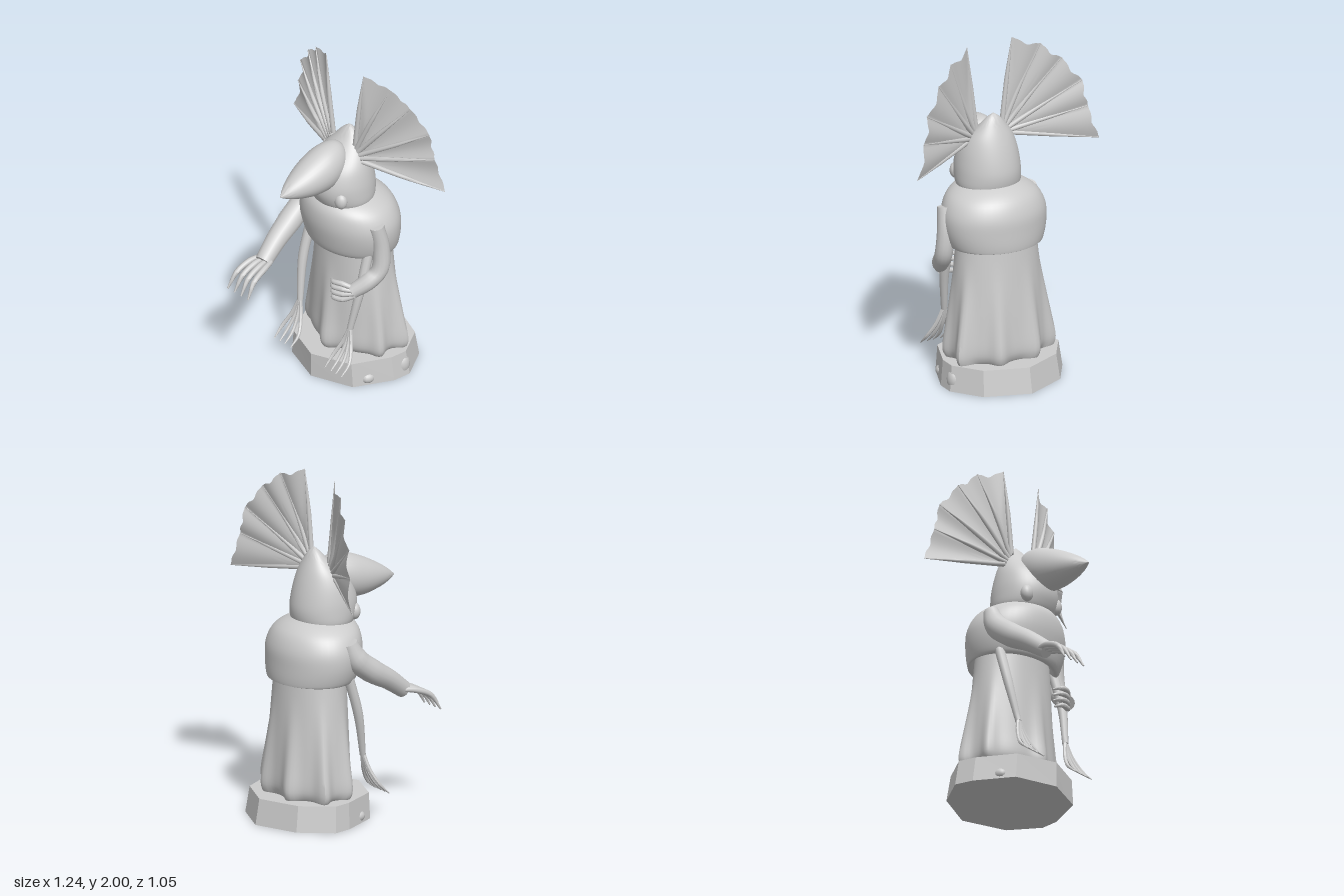
import * as THREE from 'three';
import { toCreasedNormals } from 'three/addons/utils/BufferGeometryUtils.js';

const V = (x, y, z) => new THREE.Vector3(x, y, z);
const grey = new THREE.MeshStandardMaterial({ color: 0xcccccc });
grey.name = 'stone grey';
grey.side = THREE.DoubleSide;

// Skin a list of equal rings (counter-clockwise about the loft direction), with end caps
function loft(rings, crease = 0.8) {
  const n = rings[0].length, pos = [], idx = [];
  rings.forEach(r => r.forEach(p => pos.push(p.x, p.y, p.z)));
  for (let i = 0; i < rings.length - 1; i++) {
    for (let j = 0; j < n; j++) {
      const a = i * n + j, b = i * n + (j + 1) % n;
      idx.push(a, b, a + n, b, b + n, a + n);
    }
  }
  [0, rings.length - 1].forEach((k, end) => {
    const c = rings[k].reduce((s, p) => s.add(p), V(0, 0, 0)).divideScalar(n);
    const m = pos.length / 3;
    pos.push(c.x, c.y, c.z);
    for (let j = 0; j < n; j++) {
      const a = k * n + j, b = k * n + (j + 1) % n;
      if (end) idx.push(a, b, m); else idx.push(b, a, m);
    }
  });
  const g = new THREE.BufferGeometry();
  g.setAttribute('position', new THREE.Float32BufferAttribute(pos, 3));
  g.setIndex(idx);
  return toCreasedNormals(g, crease);
}

// Smoothly resample rows of numbers
function smoothRows(rows, steps) {
  const out = [];
  for (let i = 0; i < rows.length - 1; i++) {
    for (let k = 0; k < steps; k++) {
      const t = k / steps, at = j => rows[Math.max(0, Math.min(rows.length - 1, j))];
      out.push(rows[i].map((p1, c) => {
        const p2 = at(i + 1)[c], m1 = (p2 - at(i - 1)[c]) / 2, m2 = (at(i + 2)[c] - p1) / 2;
        return (2 * t ** 3 - 3 * t * t + 1) * p1 + (t ** 3 - 2 * t * t + t) * m1
          + (3 * t * t - 2 * t ** 3) * p2 + (t ** 3 - t * t) * m2;
      }));
    }
  }
  out.push(rows[rows.length - 1]);
  return out;
}

// Body from rows of [y, half width, front z, back z]; bulge(angle, y) pushes folds outward
function bodyOf(rows, bulge = () => 0, n = 48, steps = 4) {
  return loft(smoothRows(rows, steps).map(([y, w, f, b]) => {
    const ring = [];
    for (let j = 0; j < n; j++) {
      const a = j / n * Math.PI * 2, k = bulge(a, y);
      ring.push(V(Math.sin(a) * (w + k), y, (f + b) / 2 + Math.cos(a) * ((f - b) / 2 + k)));
    }
    return ring;
  }));
}

// Round limb along a curve with changing radius
function limb(points, radii, sides = 10, steps = 16) {
  const curve = new THREE.CatmullRomCurve3(points.map(p => V(...p)));
  const { normals, binormals } = curve.computeFrenetFrames(steps, false);
  const rings = [];
  for (let i = 0; i <= steps; i++) {
    const t = i / steps, c = curve.getPoint(t), s = t * (radii.length - 1);
    const k = Math.min(radii.length - 2, Math.floor(s));
    const r = THREE.MathUtils.lerp(radii[k], radii[k + 1], s - k);
    rings.push(Array.from({ length: sides }, (_, j) => {
      const a = j / sides * Math.PI * 2;
      return c.clone().addScaledVector(normals[i], Math.cos(a) * r).addScaledVector(binormals[i], Math.sin(a) * r);
    }));
  }
  return loft(rings);
}

export function createModel() {
  const model = new THREE.Group();
  const add = (name, geo, parent = model) => {
    const m = new THREE.Mesh(geo, grey);
    m.name = name;
    parent.add(m);
    return m;
  };
  const group = name => {
    const g = new THREE.Group();
    g.name = name;
    model.add(g);
    return g;
  };

  // Faceted plinth with a slightly narrower top
  const outline = [[0, .18], [.25, .09], [.36, -.13], [.37, -.24], [.26, -.42],
    [0, -.525], [-.26, -.42], [-.395, -.24], [-.37, -.13], [-.25, .09]];
  add('plinth', loft([[0, 1], [.15, .95]].map(([y, s]) =>
    outline.map(([x, z]) => V(x * s, y, z > 0 ? z : z * s))), 0.1));
  [[.272, .035, -.01], [.335, .06, -.22], [-.272, .035, -.01]].forEach(([x, y, z]) => {
    const stone = add('plinthStone', new THREE.SphereGeometry(1, 14, 10));
    stone.scale.set(.035, y, .045);
    stone.position.set(x, y, z);
  });

  // Gown rounding in at the hem, with folds that deepen downwards
  const folds = [[0, .05], [1.2, .045], [1.95, .07], [2.75, .05], [-1.2, .045], [-1.95, .07], [-2.75, .05]];
  add('gown', bodyOf([[.13, .25, .0, -.34], [.165, .282, .035, -.365], [.22, .295, .05, -.378], [.35, .288, .045, -.372],
    [.6, .268, .038, -.355], [.88, .245, .03, -.335]], (a, y) => {
    const fade = Math.pow(Math.max(0, (.72 - y) / .56), 1.2);
    return fade * folds.reduce((s, [f, depth]) => {
      const d = Math.atan2(Math.sin(a - f), Math.cos(a - f));
      return s + depth * Math.exp(-((d / .17) ** 2));
    }, 0);
  }, 96));

  // Shawl, turned under along its lower edge
  add('shawl', bodyOf([[.88, .22, .02, -.31], [.82, .27, .06, -.37], [.835, .292, .09, -.382],
    [.92, .315, .115, -.384], [1.01, .315, .13, -.38], [1.09, .28, .125, -.35],
    [1.14, .22, .1, -.3], [1.175, .14, .05, -.23]]));

  // Hooded head rising to a rounded point
  add('head', bodyOf([[1.12, .17, .08, -.22], [1.155, .19, .105, -.245], [1.22, .192, .128, -.255],
    [1.29, .186, .125, -.247], [1.37, .168, .09, -.228], [1.44, .135, .02, -.205],
    [1.5, .088, -.045, -.18], [1.55, .045, -.09, -.155], [1.578, .006, -.12, -.13]]));
  [-1, 1].forEach(s => {
    const cheek = add('cheekFlap', new THREE.SphereGeometry(1, 16, 12));
    cheek.scale.set(.04, .05, .035);
    cheek.position.set(s * .125, 1.2, .065);
  });

  // Beak: cross-sections [z, centre y, half width, half height] from back to tip
  add('beak', loft(smoothRows([[-.06, 1.42, .01, .01], [-.05, 1.42, .055, .07], [.0, 1.4, .096, .12],
    [.09, 1.381, .116, .132], [.19, 1.363, .108, .114], [.28, 1.35, .083, .082],
    [.36, 1.339, .046, .044], [.42, 1.33, .003, .003]], 4).map(([z, y, w, h]) =>
    Array.from({ length: 32 }, (_, j) => {
      const a = j / 32 * Math.PI * 2;
      return V(Math.cos(a) * w, y + Math.sin(a) * h, z);
    }))));

  // Fan ears: scalloped membrane stretched between tapering ribs
  const tips = [[.153, 1.995], [.307, 1.945], [.42, 1.85], [.53, 1.705], [.56, 1.545], [.62, 1.347]];
  const earPoint = (s, x, y, dz = 0) => V(s * x, y, -.085 - .41 * Math.max(0, x - .15) + dz);
  [-1, 1].forEach(s => {
    const ear = group(s > 0 ? 'leftEar' : 'rightEar');
    const root = t => [.09 + .06 * t, 1.5 - .085 * t];
    const last = tips.length - 1, U = 10, W = 8, pos = [], idx = [];
    for (let i = 0; i <= last * U; i++) {
      const k = Math.min(last - 1, Math.floor(i / U)), u = i / U - k;
      const r = root(i / (last * U)), sag = Math.sin(Math.PI * u);
      const tx = THREE.MathUtils.lerp(tips[k][0], tips[k + 1][0], u);
      const ty = THREE.MathUtils.lerp(tips[k][1], tips[k + 1][1], u);
      const reach = 1 - .045 * sag + .02 * Math.sin(2 * Math.PI * u) ** 2;
      for (let j = 0; j <= W; j++) {
        const v = j / W * reach;
        const p = earPoint(s, r[0] + (tx - r[0]) * v, r[1] + (ty - r[1]) * v, -.02 * sag * v);
        pos.push(p.x, p.y, p.z);
        if (i < last * U && j < W) {
          const a = i * (W + 1) + j, b = a + W + 1;
          if (s > 0) idx.push(a, a + 1, b, b, a + 1, b + 1);
          else idx.push(a, b, a + 1, b, b + 1, a + 1);
        }
      }
    }
    const g = new THREE.BufferGeometry();
    g.setAttribute('position', new THREE.Float32BufferAttribute(pos, 3));
    g.setIndex(idx.reverse());
    add('earMembrane', toCreasedNormals(g, 0.8), ear);
    tips.forEach(([x, y], i) => {
      const r = root(i / last);
      const ends = [earPoint(s, ...r, .004), earPoint(s, (r[0] + x) / 2, (r[1] + y) / 2, .006), earPoint(s, x, y)];
      add('earRib', limb(ends.map(p => p.toArray()), [.015, .013, .002], 8, 8), ear);
    });
  });

  // Right arm reaching forward with drooping fingers
  const right = group('rightArm');
  add('sleeve', limb([[-.28, 1.07, -.07], [-.283, .97, -.03], [-.28, .88, .08], [-.265, .81, .2], [-.245, .725, .32]],
    [.045, .068, .07, .06, .05], 14, 20), right);
  [-.305, -.265, -.225, -.185].forEach((x, i) => {
    const out = (i - 1.5) * .015;
    add('finger', limb([[-.245 + (x + .245) * .7, .735, .3], [x, .725, .37], [x + out * .5, .685, .46], [x + out, .595, .52]],
      [.014, .018, .016, .005], 8, 12), right);
  });

  // Left arm bent across the waist with curled fingers
  const left = group('leftArm');
  add('sleeve', limb([[.285, 1.05, -.06], [.298, .9, -.085], [.303, .76, -.07], [.275, .69, 0], [.225, .635, .07]],
    [.045, .05, .052, .05, .042], 14, 20), left);
  [.675, .64, .605, .57].forEach((y, i) => {
    const x = .075 + [0, -.005, 0, .01][i];
    add('finger', limb([[.235, .635 + (y - .635) * .5, .065], [.18, y + .005, .105], [.12, y, .12], [x, y - .012, .09]],
      [.014, .017, .015, .005], 8, 12), left);
  });

  // Thin hanging legs with four long toes
  [-1, 1].forEach(s => {
    const leg = group(s > 0 ? 'leftLeg' : 'rightLeg');
    add('shin', limb([[s * .235, .86, -.05], [s * .235, .62, .02], [s * .205, .37, .07]], [.03, .028, .018], 10, 10), leg);
    [.14, .19, .23, .275].forEach(x => {
      add('toe', limb([[s * .205, .39, .068], [s * (.205 + (x - .205) * .5), .28, .095], [s * x, .19, .145], [s * x, .135, .205]],
        [.011, .012, .01, .003], 7, 12), leg);
    });
  });

  return model;
}
